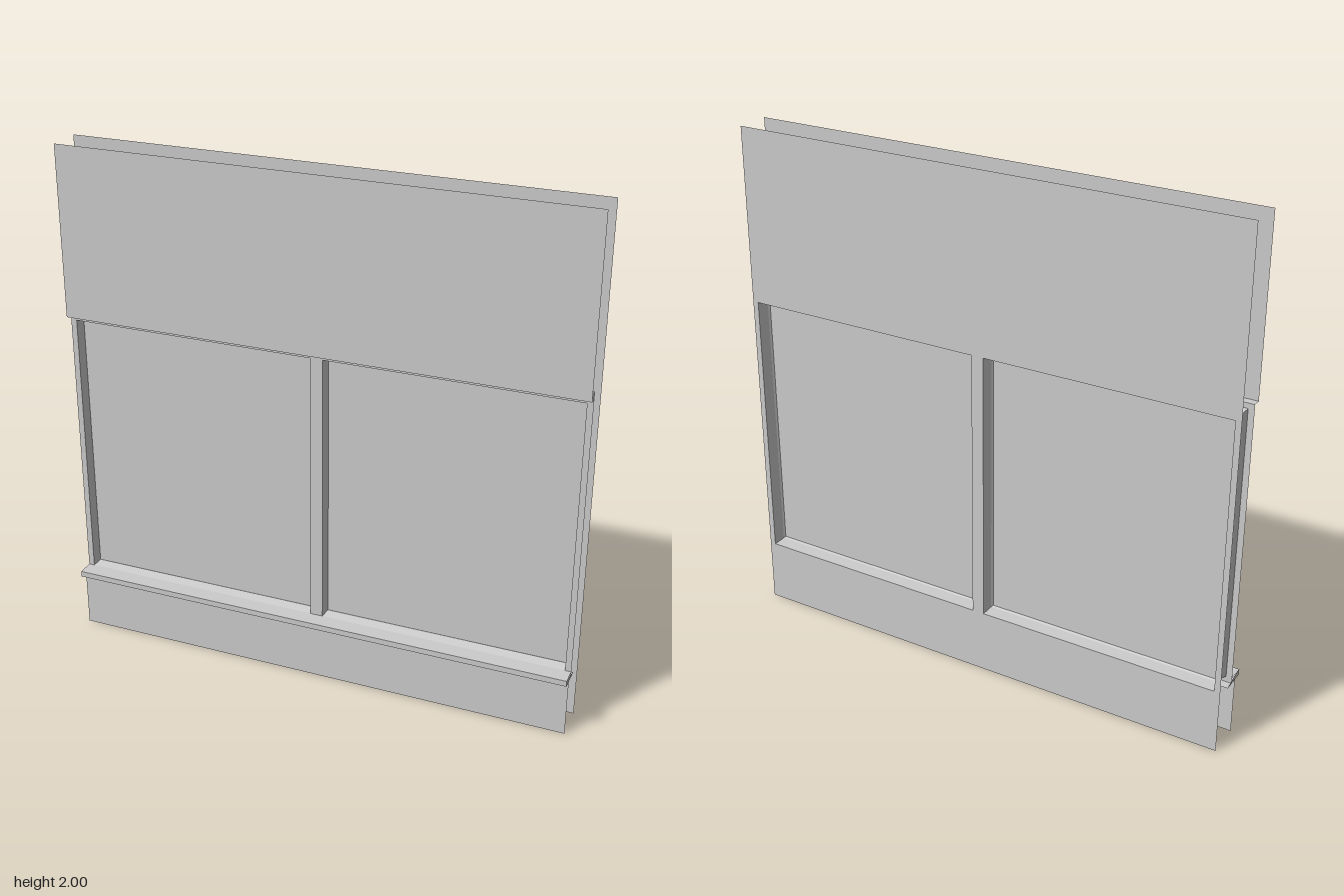
import * as THREE from 'three';

const MAT = new THREE.MeshStandardMaterial({ color: 0xcccccc, side: THREE.DoubleSide, flatShading: true });
const FRONT = 0.05, FRAME = 0.02, BACK = -0.085;
const BOTTOM = 0.253, TOP = 1.318;
const OPENINGS = [[-0.977, -0.024], [0.024, 0.977]];

function add(group, name, geometry, x = 0, y = 0, z = 0) {
  const mesh = new THREE.Mesh(geometry, MAT);
  mesh.name = name;
  mesh.position.set(x, y, z);
  group.add(mesh);
  return mesh;
}

// Flat upright sheet, optionally pierced by the two window openings
function sheet(x0, x1, y0, y1, pierced = false) {
  const rect = (C, a, b, c, d) => {
    const p = new C();
    p.moveTo(a, c); p.lineTo(b, c); p.lineTo(b, d); p.lineTo(a, d); p.closePath();
    return p;
  };
  const shape = rect(THREE.Shape, x0, x1, y0, y1);
  if (pierced) for (const [a, b] of OPENINGS) shape.holes.push(rect(THREE.Path, a, b, BOTTOM, TOP));
  return new THREE.ShapeGeometry(shape);
}

// Rectangular lining: a [z, inset] profile carried round the opening
function lining(x0, x1, y0, y1, profile) {
  const pos = [], index = [];
  for (const [z, i] of profile) {
    pos.push(x0 + i, y0 + i, z, x1 - i, y0 + i, z, x1 - i, y1 - i, z, x0 + i, y1 - i, z);
  }
  for (let r = 0; r < profile.length - 1; r++) {
    for (let k = 0; k < 4; k++) {
      const a = r * 4 + k, b = r * 4 + (k + 1) % 4;
      index.push(a, a + 4, b, b, a + 4, b + 4);
    }
  }
  const g = new THREE.BufferGeometry();
  g.setAttribute('position', new THREE.Float32BufferAttribute(pos, 3));
  g.setIndex(index);
  const flat = g.toNonIndexed();
  flat.computeVertexNormals();
  return flat;
}

// Level sheet running the full width between two depths
function ledge(z0, z1) {
  return new THREE.PlaneGeometry(2, z1 - z0).rotateX(-Math.PI / 2).translate(0, 0, (z0 + z1) / 2);
}

export function createModel() {
  const model = new THREE.Group();
  model.name = 'windowWall';

  // Outer wall skin, above and below the window band
  add(model, 'outerWallUpper', sheet(-1, 1, 1.338, 2), 0, 0, FRONT);
  add(model, 'outerWallLower', sheet(-1, 1, 0, 0.23), 0, 0, FRONT);

  // Inner wall skin and window frame face
  add(model, 'innerWall', sheet(-1, 1, 0, 2, true).rotateY(0), 0, 0, BACK);
  add(model, 'frameFace', sheet(-1, 1, 0.23, 1.338, true), 0, 0, FRAME);

  // Linings with a small glazing bead, and panes
  const profile = [[FRAME, 0], [-0.018, 0.008], [-0.03, 0.001], [BACK, 0]];
  for (const [a, b] of OPENINGS) {
    add(model, 'windowLining', lining(a, b, BOTTOM, TOP, profile));
    add(model, 'windowPane', sheet(a + 0.005, b - 0.005, BOTTOM + 0.005, TOP - 0.005), 0, 0, -0.022);
  }

  // Soffit closing the head of the window band
  add(model, 'soffit', ledge(FRAME, FRONT), 0, 1.338, 0);

  // Projecting sill with tapered ends
  const sill = new THREE.Group();
  sill.name = 'sill';
  add(sill, 'sillTop', ledge(FRAME, 0.085), 0, BOTTOM, 0);
  add(sill, 'sillUnderside', ledge(-0.015, 0.085), 0, 0.23, 0);
  add(sill, 'sillNose', sheet(-1, 1, 0.23, BOTTOM), 0, 0, 0.085);
  const end = new THREE.Shape([[0.085, 0.23], [0.085, BOTTOM], [0.06, BOTTOM], [-0.015, 0.23]]
    .map(([z, y]) => new THREE.Vector2(-z, y)));
  for (const s of [-1, 1]) {
    add(sill, 'sillEnd', new THREE.ShapeGeometry(end).rotateY(Math.PI / 2), s, 0, 0);
  }
  model.add(sill);
  return model;
}
